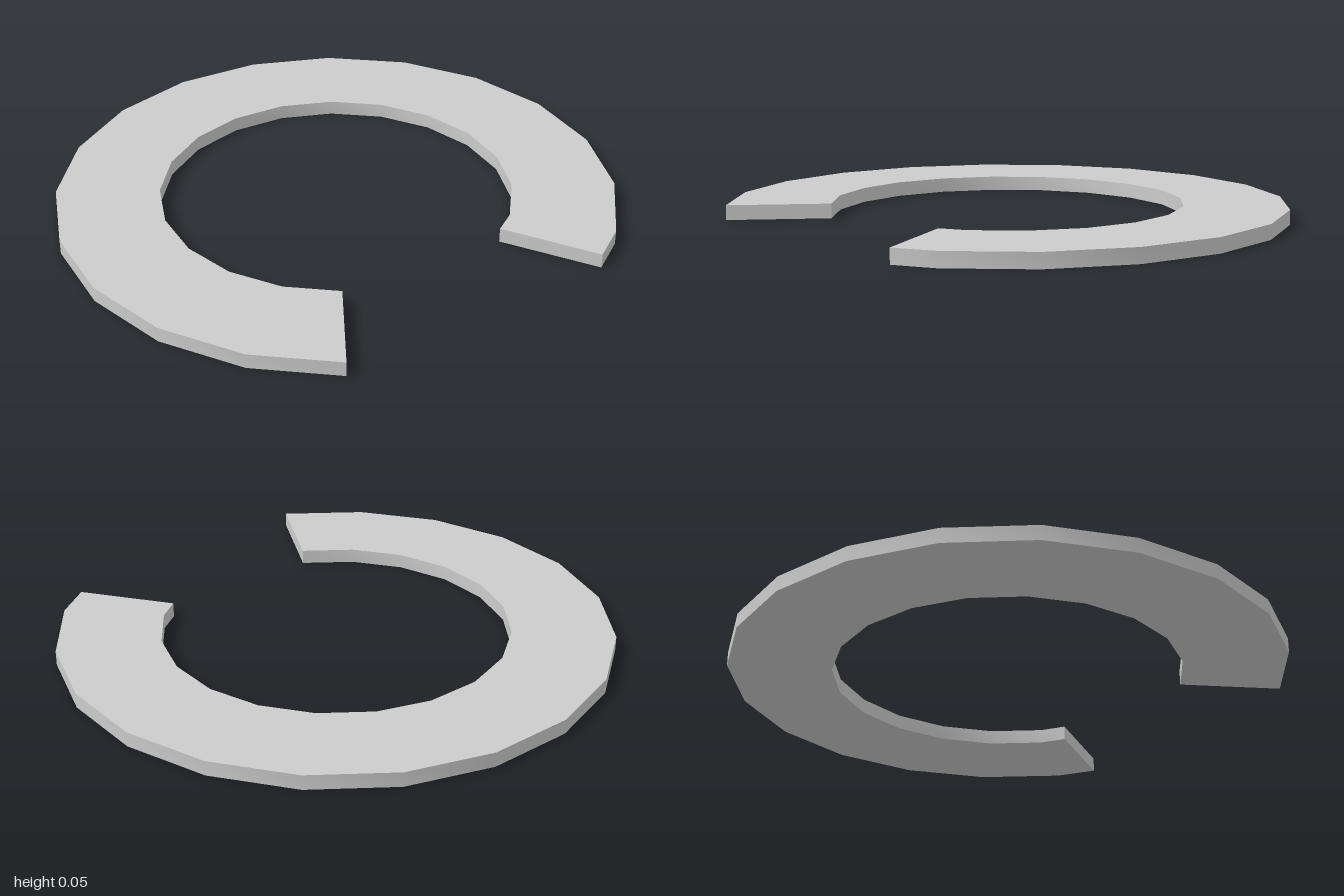
import * as THREE from 'three';
import { toCreasedNormals } from 'three/addons/utils/BufferGeometryUtils.js';

const OUTER = 1, INNER = 0.63, HEIGHT = 0.053, STEP = Math.PI / 10;

// Point of a 20-sided ring; s counts sides from the front (+z) towards +x.
// A half step lies on the middle of a straight side.
function ringPoint(radius, s) {
  const a = s * STEP;
  const r = Number.isInteger(s) ? radius : radius * Math.cos(STEP / 2);
  return new THREE.Vector2(r * Math.sin(a), -r * Math.cos(a));
}

export function createModel() {
  const group = new THREE.Group();
  group.name = 'openRing';

  // The ring starts halfway along a side and leaves a gap at the front
  const stations = [2.5];
  for (let s = 3; s <= 19; s++) stations.push(s);
  const outer = stations.map((s) => ringPoint(OUTER, s));
  const inner = stations.map((s) => ringPoint(INNER, s)).reverse();

  // Flat slab with smooth curved walls and sharp rims
  const slab = new THREE.ExtrudeGeometry(new THREE.Shape([...outer, ...inner]), {
    depth: HEIGHT,
    bevelEnabled: false,
  });
  slab.rotateX(-Math.PI / 2);
  slab.translate(0, 0, 0.0245);

  const ring = new THREE.Mesh(
    toCreasedNormals(slab, Math.PI / 6),
    new THREE.MeshStandardMaterial({ color: 0xcccccc })
  );
  ring.name = 'ring';
  group.add(ring);
  return group;
}
